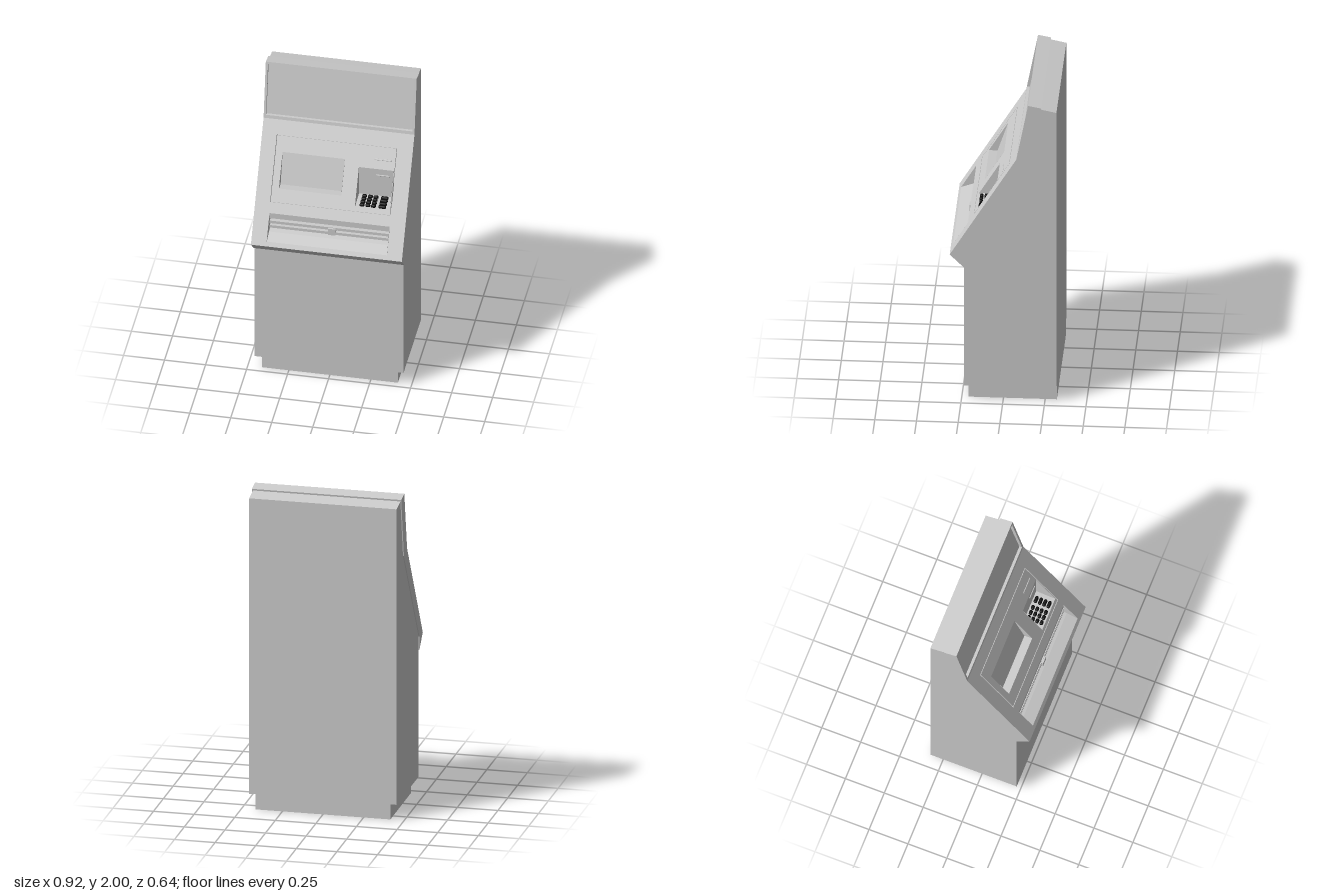
import * as THREE from 'three';
import { RoundedBoxGeometry } from 'three/addons/geometries/RoundedBoxGeometry.js';

const grey = new THREE.MeshStandardMaterial({ color: 0xcccccc });
const sheet = new THREE.MeshStandardMaterial({ color: 0xcccccc, side: THREE.DoubleSide });
const black = new THREE.MeshStandardMaterial({ color: 0x0a0a0a });

// Sloped face: starts at (z, y) = TOP and runs down to LOW
const TOP = [-0.08, 1.635], LOW = [0.32, 0.98];
const LEN = Math.hypot(LOW[0] - TOP[0], LOW[1] - TOP[1]);
const TILT = Math.atan2(LOW[0] - TOP[0], TOP[1] - LOW[1]);
const along = z => (z - TOP[0]) / Math.sin(TILT);
const faceY = z => TOP[1] - along(z) * Math.cos(TILT);
const onFace = z => [z, faceY(z)];

function add(parent, name, geometry, material = grey) {
  const mesh = new THREE.Mesh(geometry, material);
  mesh.name = name;
  parent.add(mesh);
  return mesh;
}

// Side profile in (z, y)
const sideShape = pts => new THREE.Shape(pts.map(([z, y]) => new THREE.Vector2(-z, y)));

// Side profile extruded from x0 to x1
function across(pts, x0, x1) {
  return new THREE.ExtrudeGeometry(sideShape(pts), { depth: x1 - x0, bevelEnabled: false })
    .rotateY(Math.PI / 2).translate(x0, 0, 0);
}

function rect(Type, x0, x1, s0, s1) {
  return new Type([[x0, -s1], [x1, -s1], [x1, -s0], [x0, -s0]].map(p => new THREE.Vector2(...p)));
}

// Plate lying in the sloped face, with rectangular holes
function plate(box, holes, depth) {
  const shape = rect(THREE.Shape, ...box);
  shape.holes = holes.map(h => rect(THREE.Path, ...h));
  return new THREE.ExtrudeGeometry(shape, { depth, bevelEnabled: false }).translate(0, 0, -depth);
}

// Pocket behind an opening: a folded sheet plus two side walls
function recess(parent, name, x0, x1, pts) {
  const group = new THREE.Group();
  group.name = name;
  parent.add(group);
  const pos = [];
  for (let i = 0; i < pts.length - 1; i++) {
    const [za, ya] = pts[i], [zb, yb] = pts[i + 1];
    pos.push(x0, ya, za, x0, yb, zb, x1, yb, zb, x0, ya, za, x1, yb, zb, x1, ya, za);
  }
  const geo = new THREE.BufferGeometry();
  geo.setAttribute('position', new THREE.Float32BufferAttribute(pos, 3));
  geo.computeVertexNormals();
  add(group, name + 'Lining', geo, sheet);
  for (const x of [x0, x1]) {
    add(group, name + 'Wall', new THREE.ShapeGeometry(sideShape(pts)).rotateY(Math.PI / 2).translate(x, 0, 0), sheet);
  }
  return group;
}

export function createModel() {
  const model = new THREE.Group();
  model.name = 'serviceTerminal';

  // Plinth and cabinet
  add(model, 'plinth', new THREE.BoxGeometry(0.83, 0.096, 0.53).translate(0, 0.048, -0.055));
  add(model, 'cabinetCore', across([[-0.32, 0.095], [-0.32, 1.955], [-0.225, 1.975], [-0.22, 1.61],
    [0.2, 0.95], [0.235, 0.93], [0.235, 0.095]], -0.435, 0.435));
  const side = [[-0.32, 0.095], [-0.32, 1.955], [-0.225, 1.975], [-0.16, 1.61], [0.235, 0.98], [0.235, 0.095]];
  add(model, 'leftCabinetSide', across(side, 0.435, 0.454));
  add(model, 'rightCabinetSide', across(side, -0.454, -0.435));

  // Fascia rails, header and lower lip
  const rail = [[-0.15, 2], TOP, LOW, [0.235, 0.895], [0.235, 0.98], [-0.16, 1.61], [-0.228, 1.985]];
  add(model, 'leftFasciaRail', across(rail, 0.446, 0.46));
  add(model, 'rightFasciaRail', across(rail, -0.46, -0.446));
  const spans = {
    headerRim: [[-0.15, 2], [-0.147, 1.985], [-0.225, 1.968], [-0.228, 1.985]],
    headerPanel: [[-0.168, 1.983], [-0.1, 1.65], [-0.16, 1.61], [-0.225, 1.975]],
    headerLedge: [[-0.084, 1.655], TOP, [-0.15, 1.61], [-0.105, 1.655]],
    lowerLip: [LOW, [0.235, 0.895], [0.235, 0.94], [0.295, 0.99]],
  };
  for (const [name, pts] of Object.entries(spans)) add(model, name, across(pts, -0.446, 0.446));

  // Sloped face with its inset control panel
  const face = new THREE.Group();
  face.name = 'slopedFace';
  face.position.set(0, TOP[1], TOP[0]);
  face.rotation.x = -TILT;
  model.add(face);
  const panel = [-0.37, 0.366, 0.09, 0.499];
  add(face, 'fasciaPlate', plate([-0.446, 0.446, 0, LEN],
    [panel, [-0.367, 0.367, along(0.215), along(0.305)]], 0.02));
  add(face, 'controlPanel', plate([panel[0] + 0.005, panel[1] - 0.005, panel[2] + 0.005, panel[3] - 0.005],
    [[-0.325, 0.056, along(0.02), along(0.135)], [0.144, 0.358, along(0.04), along(0.165)]], 0.018));
  add(face, 'cardSlot', new RoundedBoxGeometry(0.105, 0.01, 0.008, 2, 0.003).translate(0.287, -0.172, 0));

  // Screen pocket, steeper than the face
  recess(model, 'screen', -0.324, 0.055, [onFace(0.02), [0.085, faceY(0.135) - 0.004], onFace(0.135)]);

  // Keypad pocket, receipt slot and keys
  recess(model, 'keypadPocket', 0.145, 0.357, [onFace(0.04), [0.042, 1.245], onFace(0.165)]);
  add(model, 'receiptSlot', new RoundedBoxGeometry(0.085, 0.008, 0.008, 2, 0.003).translate(0.292, 1.395, 0.042));
  const keypad = new THREE.Group();
  keypad.name = 'keypad';
  model.add(keypad);
  for (let row = 0; row < 4; row++) {
    for (const [x, w] of [[0.184, 0.03], [0.219, 0.03], [0.253, 0.03], [0.307, 0.046]]) {
      add(keypad, 'key', new RoundedBoxGeometry(w, 0.024, 0.021, 2, 0.009)
        .translate(x, 1.244 - row * 0.002, 0.062 + row * 0.0277), black);
    }
  }

  // Cash tray with shutter bars and centre block
  recess(model, 'cashTray', -0.366, 0.366, [onFace(0.215), [0.215, 1.115], [0.19, 1.1],
    [0.19, 1.04], [0.235, 1.03], onFace(0.305)]);
  for (const y of [1.09, 1.057]) {
    add(model, 'shutterBar', new THREE.BoxGeometry(0.73, 0.018, 0.03).translate(0, y, 0.203));
  }
  add(model, 'shutterBlock', new THREE.BoxGeometry(0.045, 0.045, 0.035).translate(0.015, 1.073, 0.212));
  return model;
}
